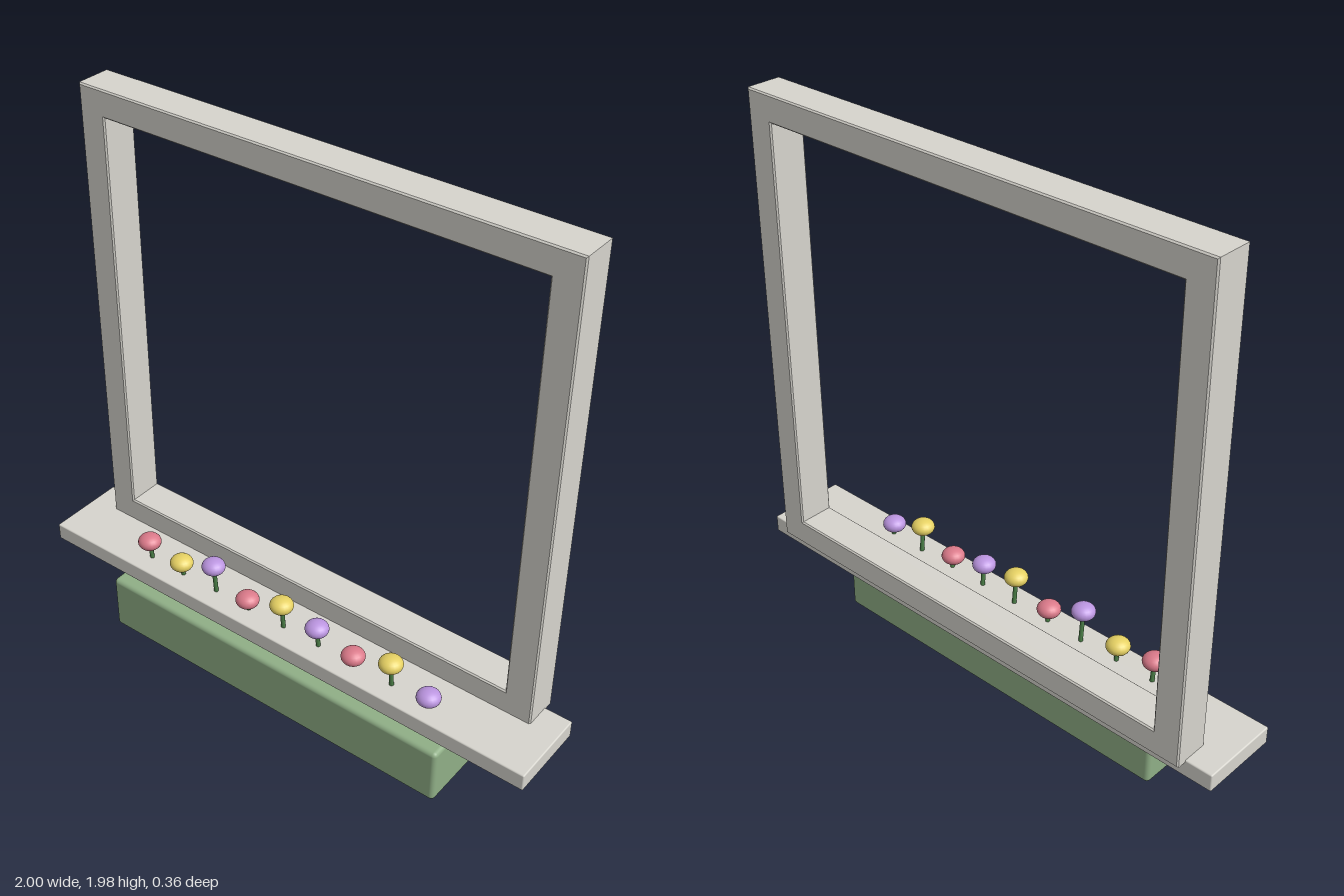
import * as THREE from 'three';
import { RoundedBoxGeometry } from 'three/addons/geometries/RoundedBoxGeometry.js';

const paint = (color) => new THREE.MeshStandardMaterial({ color });
const stone = paint(0xd6d4cd);
const planterGreen = paint(0x8fae86);
const stemGreen = paint(0x4c8048);
const petals = [paint(0xdb7a8a), paint(0xe6d163), paint(0xbb95e0)];

function add(parent, name, geometry, material, x = 0, y = 0, z = 0) {
  const mesh = new THREE.Mesh(geometry, material);
  mesh.name = name;
  mesh.position.set(x, y, z);
  parent.add(mesh);
  return mesh;
}

// Closed rectangle from corner to corner
function rectangle(target, x0, y0, x1, y1) {
  target.moveTo(x0, y0);
  target.lineTo(x1, y0);
  target.lineTo(x1, y1);
  target.lineTo(x0, y1);
  target.closePath();
  return target;
}

export function createModel() {
  const model = new THREE.Group();
  model.name = 'windowWithFlowerBox';

  // Window frame: one rectangular ring with softened edges
  const bevel = 0.005;
  const outline = rectangle(new THREE.Shape(), -0.9, 0.292, 0.9, 1.984);
  outline.holes.push(rectangle(new THREE.Path(), -0.8, 0.385, 0.8, 1.89));
  const frame = new THREE.ExtrudeGeometry(outline, {
    depth: 0.133 - 2 * bevel,
    bevelThickness: bevel,
    bevelSize: bevel,
    bevelOffset: -bevel,
    bevelSegments: 1,
  });
  add(model, 'windowFrame', frame, stone, 0, 0, -0.181 + bevel);

  // Sill slab
  add(model, 'sill', new RoundedBoxGeometry(2, 0.065, 0.295, 2, 0.005), stone, 0, 0.267, 0.004);

  // Planter box under the sill
  add(model, 'planter', new RoundedBoxGeometry(1.4, 0.214, 0.232, 3, 0.016), planterGreen, 0, 0.107, 0.065);

  // Flowers: stems lean forward slightly, heads are flattened spheres
  const heights = [0.377, 0.356, 0.417, 0.347, 0.403, 0.382, 0.345, 0.398, 0.34];
  const up = new THREE.Vector3(0, 1, 0);
  const headGeometry = new THREE.SphereGeometry(0.042, 20, 14);
  heights.forEach((y, i) => {
    const flower = new THREE.Group();
    flower.name = 'flower';
    flower.position.x = -0.6 + 0.15 * i;
    const root = new THREE.Vector3(0, 0.19, 0.065);
    const tip = new THREE.Vector3(0, y, 0.084);
    const span = tip.clone().sub(root);
    const stem = add(flower, 'stem', new THREE.CylinderGeometry(0.008, 0.008, span.length(), 10), stemGreen);
    stem.position.copy(root).addScaledVector(span, 0.5);
    stem.quaternion.setFromUnitVectors(up, span.normalize());
    const head = add(flower, 'flowerHead', headGeometry, petals[i % 3], 0, y, 0.084);
    head.scale.y = 0.7;
    model.add(flower);
  });

  return model;
}
